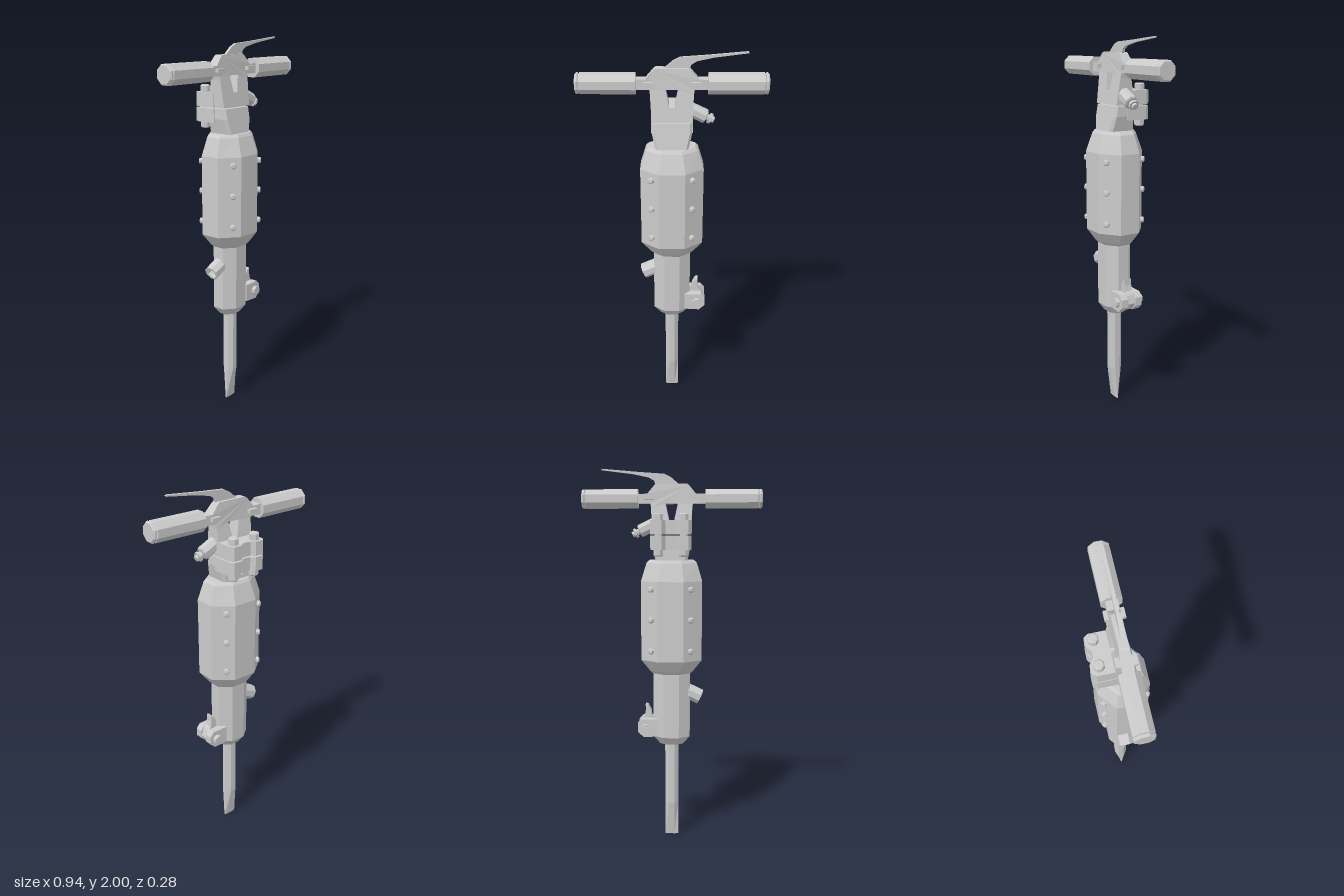
import * as THREE from 'three';

const CZ = 0.01; // depth of the tool's main axis
const UP = new THREE.Vector3(0, 1, 0);
const V = (x, y, z) => new THREE.Vector3(x, y, z);

export function createModel() {
  const model = new THREE.Group();
  const material = new THREE.MeshStandardMaterial({ color: 0xcccccc, flatShading: true });

  function add(name, geometry, parent = model) {
    const mesh = new THREE.Mesh(geometry, material);
    mesh.name = name;
    parent.add(mesh);
    return mesh;
  }
  function group(name) {
    const g = new THREE.Group();
    g.name = name;
    model.add(g);
    return g;
  }

  // Skin a stack of rings, each { y, pts: [[x, z], ...] } counter-clockwise from above
  function loft(rings) {
    const pos = [];
    const tri = (...p) => p.forEach(v => pos.push(v.x, v.y, v.z));
    const loops = rings.map(r => r.pts.map(([x, z]) => V(x, r.y, z)));
    const n = loops[0].length;
    const mid = l => l.reduce((s, p) => s.add(p), V(0, 0, 0)).divideScalar(n);
    const first = loops[0], last = loops[loops.length - 1];
    const lo = mid(first), hi = mid(last);
    for (let i = 0; i < n; i++) {
      const j = (i + 1) % n;
      for (let k = 0; k + 1 < loops.length; k++) {
        const a = loops[k], b = loops[k + 1];
        tri(a[i], a[j], b[j]);
        tri(a[i], b[j], b[i]);
      }
      tri(lo, first[j], first[i]);
      tri(hi, last[i], last[j]);
    }
    const g = new THREE.BufferGeometry();
    g.setAttribute('position', new THREE.Float32BufferAttribute(pos, 3));
    g.computeVertexNormals();
    return g;
  }
  // Octagonal ring with flats facing the axes
  function oct(y, rx, rz) {
    const pts = [];
    for (let i = 0; i < 8; i++) {
      const a = (i + 0.5) * Math.PI / 4, k = 1 / Math.cos(Math.PI / 8);
      pts.push([Math.cos(a) * rx * k, CZ - Math.sin(a) * rz * k]);
    }
    return { y, pts };
  }
  const octLoft = rows => loft(rows.map(r => oct(...r)));

  // Rectangle ring with chamfered corners
  function rect(y, hx, front, back, c = 0.012) {
    return { y, pts: [[hx, front - c], [hx, back + c], [hx - c, back], [c - hx, back],
      [-hx, back + c], [-hx, front - c], [c - hx, front], [hx - c, front]] };
  }
  // Turned part along a direction; profile rows are [radius, distance]
  function turned(name, profile, at, dir, parent, sides = 8) {
    const g = new THREE.LatheGeometry(profile.map(p => new THREE.Vector2(...p)), sides, Math.PI / sides);
    const m = add(name, g, parent);
    m.position.copy(at);
    m.quaternion.setFromUnitVectors(UP, dir.clone().normalize());
    return m;
  }
  function box(name, w, h, d, x, y, z, parent) {
    add(name, new THREE.BoxGeometry(w, h, d), parent).position.set(x, y, z);
  }
  function extrude(points, depth, z0) {
    const s = new THREE.Shape(points.map(p => new THREE.Vector2(...p)));
    return new THREE.ExtrudeGeometry(s, { depth, bevelEnabled: false }).translate(0, 0, z0);
  }

  // Chisel: octagonal shank flattened to a wide edge
  add('chisel', octLoft([[0, 0.036, 0.005], [0.19, 0.036, 0.036], [0.56, 0.036, 0.036]]));

  // Front housing and main cylinder casing
  add('lowerHousing', octLoft([[0.53, 0.062, 0.047], [0.575, 0.098, 0.078], [0.95, 0.098, 0.078]]));
  add('casing', octLoft([[0.925, 0.1, 0.08], [0.94, 0.115, 0.092], [1.0, 0.161, 0.131],
    [1.42, 0.161, 0.131], [1.515, 0.132, 0.1], [1.53, 0.118, 0.09]]));

  // Casing bolts on the four diagonal faces
  const bolts = group('casingBolts');
  for (const sx of [-1, 1]) for (const sz of [-1, 1]) for (const y of [1.055, 1.22, 1.38]) {
    turned('casingBolt', [[0.016, 0], [0.016, 0.016], [0.01, 0.02], [0, 0.02]],
      V(sx * 0.1, y, CZ + sz * 0.102), V(sx * 0.63, 0, sz * 0.77), bolts);
  }

  // Exhaust spout, hollow at its end
  turned('exhaustSpout', [[0.042, 0], [0.042, 0.11], [0.03, 0.11], [0.028, 0.06], [0, 0.06]],
    V(-0.055, 0.837, CZ), V(-0.9, -0.42, 0));

  // Chisel retainer: two lugs, pivot pin and curved latch
  const retainer = group('retainer');
  const lug = [[0.07, 0.58], [0.15, 0.575], [0.182, 0.605], [0.182, 0.65], [0.16, 0.675], [0.07, 0.675]];
  for (const z of [0.032, -0.052]) add('retainerLug', extrude(lug, 0.04, z + CZ - 0.01), retainer);
  turned('retainerPin', [[0, 0], [0.025, 0], [0.025, 0.165], [0, 0.165]],
    V(0.138, 0.627, CZ - 0.083), V(0, 0, 1), retainer);
  add('retainerLatch', extrude([[0.09, 0.6], [0.16, 0.585], [0.18, 0.62], [0.165, 0.665], [0.148, 0.685],
    [0.142, 0.715], [0.142, 0.75], [0.128, 0.745], [0.112, 0.715], [0.107, 0.67]], 0.042, CZ - 0.021), retainer);

  // Head base, leaning back toward the handle
  add('headBase', loft([rect(1.525, 0.082, 0.08, -0.06), rect(1.605, 0.1, 0.066, -0.055),
    rect(1.657, 0.1, 0.057, -0.05)]));

  // Handle yoke with a tapered window, its thickness following height
  const yoke = new THREE.Shape([[-0.1, 1.662], [0.1, 1.662], [0.107, 1.8], [0.11, 1.82], [0.145, 1.825],
    [0.145, 1.868], [0.128, 1.87], [0.09, 1.915], [0.08, 1.922], [-0.08, 1.922], [-0.09, 1.915],
    [-0.128, 1.87], [-0.145, 1.868], [-0.145, 1.825], [-0.11, 1.82], [-0.107, 1.8]]
    .map(p => new THREE.Vector2(...p)));
  yoke.holes.push(new THREE.Path([[-0.032, 1.82], [-0.014, 1.735], [0.014, 1.735], [0.032, 1.82]]
    .map(p => new THREE.Vector2(...p))));
  const yokeGeo = new THREE.ExtrudeGeometry(yoke, { depth: 1, bevelEnabled: false });
  const yp = yokeGeo.attributes.position;
  for (let i = 0; i < yp.count; i++) {
    const t = THREE.MathUtils.clamp((1.82 - yp.getY(i)) / 0.16, 0, 1);
    const crown = yp.getY(i) > 1.9 ? 0.006 : 0;
    yp.setZ(i, yp.getZ(i) > 0.5 ? 0.034 + 0.021 * t - crown : -0.024 - 0.026 * t + crown);
  }
  yokeGeo.computeVertexNormals();
  add('handleYoke', yokeGeo);

  // Handles, necks and neck pads, mirrored
  for (const s of [-1, 1]) {
    const handle = group(s > 0 ? 'leftHandle' : 'rightHandle');
    box('handleNeck', 0.1, 0.05, 0.056, s * 0.14, 1.846, 0.006, handle);
    box('neckPad', 0.048, 0.02, 0.096, s * 0.115, 1.85, 0.006, handle);
    turned('grip', [[0, 0], [0.053, 0], [0.053, 0.272], [0.047, 0.276], [0.053, 0.28], [0.053, 0.287],
      [0.046, 0.294], [0, 0.294]], V(s * 0.176, 1.846, 0.007), V(s, 0, 0), handle);
  }

  // Throttle lever
  add('throttleLever', extrude([[-0.045, 1.915], [0.085, 1.915], [0.092, 1.938], [0.12, 1.955], [0.2, 1.972],
    [0.367, 1.993], [0.365, 2.0], [0.17, 1.983], [0.04, 1.974], [0.005, 1.957]], 0.016, 0));

  // Rear clamp: two flanges with rounded bolt seats
  const clamp = group('rearClamp');
  const half = [[0.105, -0.01], [0.105, -0.12], [0.09, -0.142], [0.045, -0.142], [0.028, -0.12]];
  const flange = [...half, ...half.map(([x, z]) => [-x, z]).reverse()];
  for (const [y0, y1] of [[1.585, 1.656], [1.663, 1.735]]) {
    add('clampFlange', loft([{ y: y0, pts: flange }, { y: y1, pts: flange }]), clamp);
  }
  for (const s of [-1, 1]) {
    turned('clampBolt', [[0, 0], [0.02, 0], [0.026, 0.006], [0.026, 0.035], [0.02, 0.04], [0.02, 0.182],
      [0.026, 0.182], [0.026, 0.214], [0.02, 0.22], [0, 0.22]], V(s * 0.065, 1.55, -0.103), UP, clamp);
  }

  // Air inlet: hex nut, stem and ribbed nipple
  turned('airInlet', [[0, 0], [0.036, 0], [0.036, 0.095], [0.028, 0.1], [0.017, 0.1], [0.017, 0.114],
    [0.027, 0.114], [0.027, 0.126], [0.016, 0.126], [0.016, 0.14], [0, 0.14]],
    V(0.08, 1.722, CZ), V(0.88, -0.42, 0));

  return model;
}
